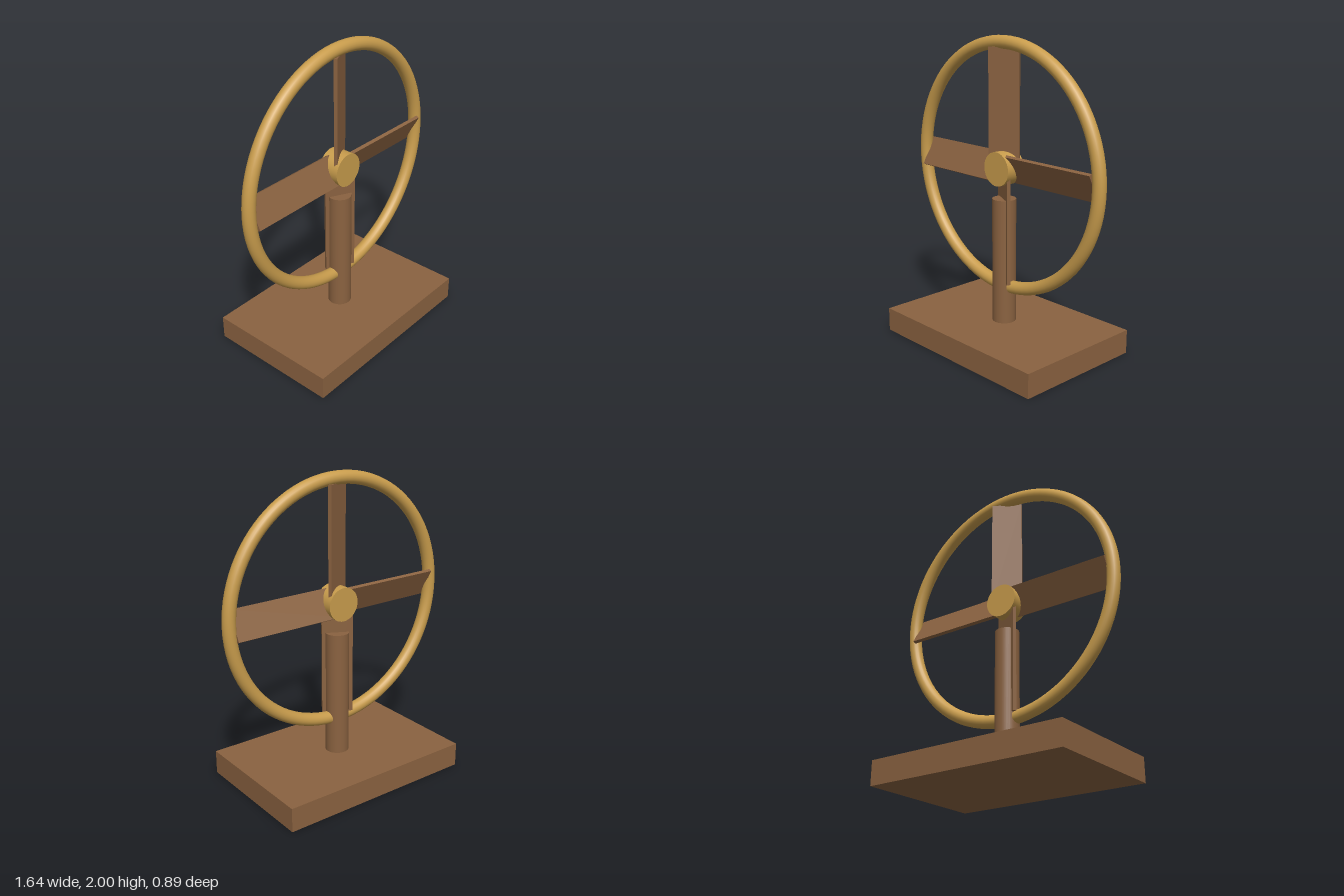
import * as THREE from 'three';

export function createModel() {
  const group = new THREE.Group();
  const wood = new THREE.MeshStandardMaterial({ color: 0x8a6240 });
  wood.name = 'brown wood';
  const brass = new THREE.MeshStandardMaterial({ color: 0xc89c4c });
  brass.name = 'brass';
  const axisY = 1.178;

  const add = (name, geometry, material, y, parent = group) => {
    const mesh = new THREE.Mesh(geometry, material);
    mesh.name = name;
    mesh.position.y = y;
    parent.add(mesh);
    return mesh;
  };

  // Stand
  add('base', new THREE.BoxGeometry(1.34, 0.157, 0.89), wood, 0.0785);
  add('post', new THREE.CylinderGeometry(0.077, 0.077, 0.83, 32), wood, 0.565);

  // Wheel: rim, hub and four pitched blades
  const wheel = new THREE.Group();
  wheel.name = 'wheel';
  wheel.position.y = axisY;
  group.add(wheel);

  add('rim', new THREE.TorusGeometry(0.78, 0.042, 20, 96), brass, 0, wheel);
  add('hub', new THREE.CylinderGeometry(0.109, 0.109, 0.14, 40).rotateX(Math.PI / 2), brass, 0, wheel);

  for (let i = 0; i < 4; i++) {
    // Upright blade, twisted about its length, then turned to its place
    const blade = new THREE.BoxGeometry(0.2, 0.75, 0.022)
      .translate(0, 0.375, 0)
      .rotateY(0.47)
      .rotateZ((i * Math.PI) / 2);
    add('blade' + (i + 1), blade, wood, 0, wheel);
  }
  return group;
}
